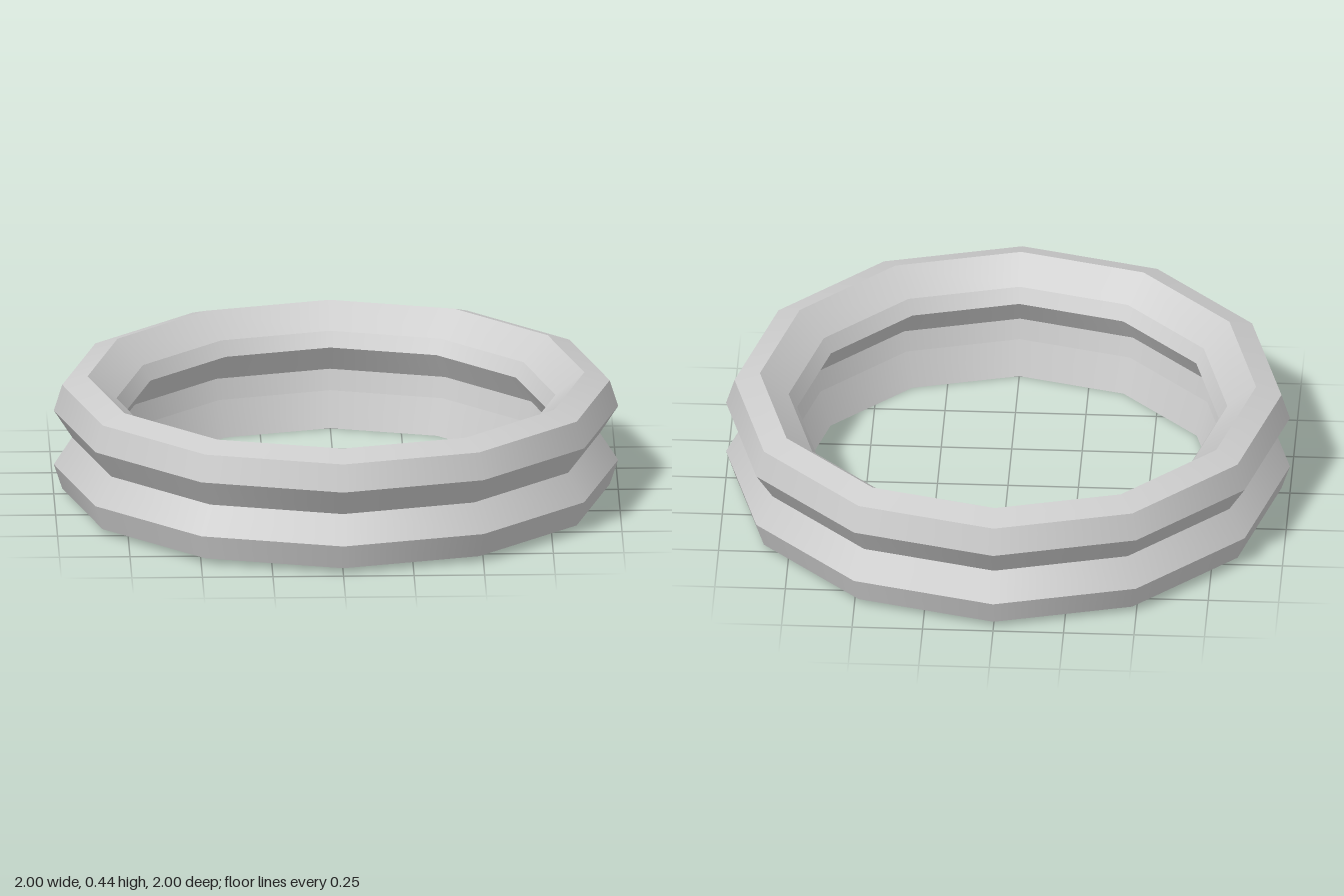
import * as THREE from 'three';
import { mergeGeometries } from 'three/addons/utils/BufferGeometryUtils.js';

const SIDES = 12;

// Closed cross-section [radius, height]: bottom, up the outside, down the inside
const profile = [
  [0.75, 0], [0.97, 0.02],
  [1, 0.11], [0.935, 0.21], [1, 0.31], [0.97, 0.405],  // outer groove
  [0.88, 0.436],                                       // top rim
  [0.778, 0.353], [0.748, 0.3],                        // inner lip
  [0.81, 0.202], [0.792, 0.128],                       // inner groove
];

// One lathed band per profile edge: smooth around the ring, sharp between bands
function creasedLathe(points) {
  const bands = points.map((p, i) => {
    const q = points[(i + 1) % points.length];
    return new THREE.LatheGeometry([new THREE.Vector2(...p), new THREE.Vector2(...q)], SIDES);
  });
  return mergeGeometries(bands);
}

export function createModel() {
  const group = new THREE.Group();
  group.name = 'groovedRing';
  const grey = new THREE.MeshStandardMaterial({ color: 0xcccccc });
  grey.name = 'light grey';

  const ring = new THREE.Mesh(creasedLathe(profile), grey);
  ring.name = 'ringBody';
  group.add(ring);
  return group;
}
